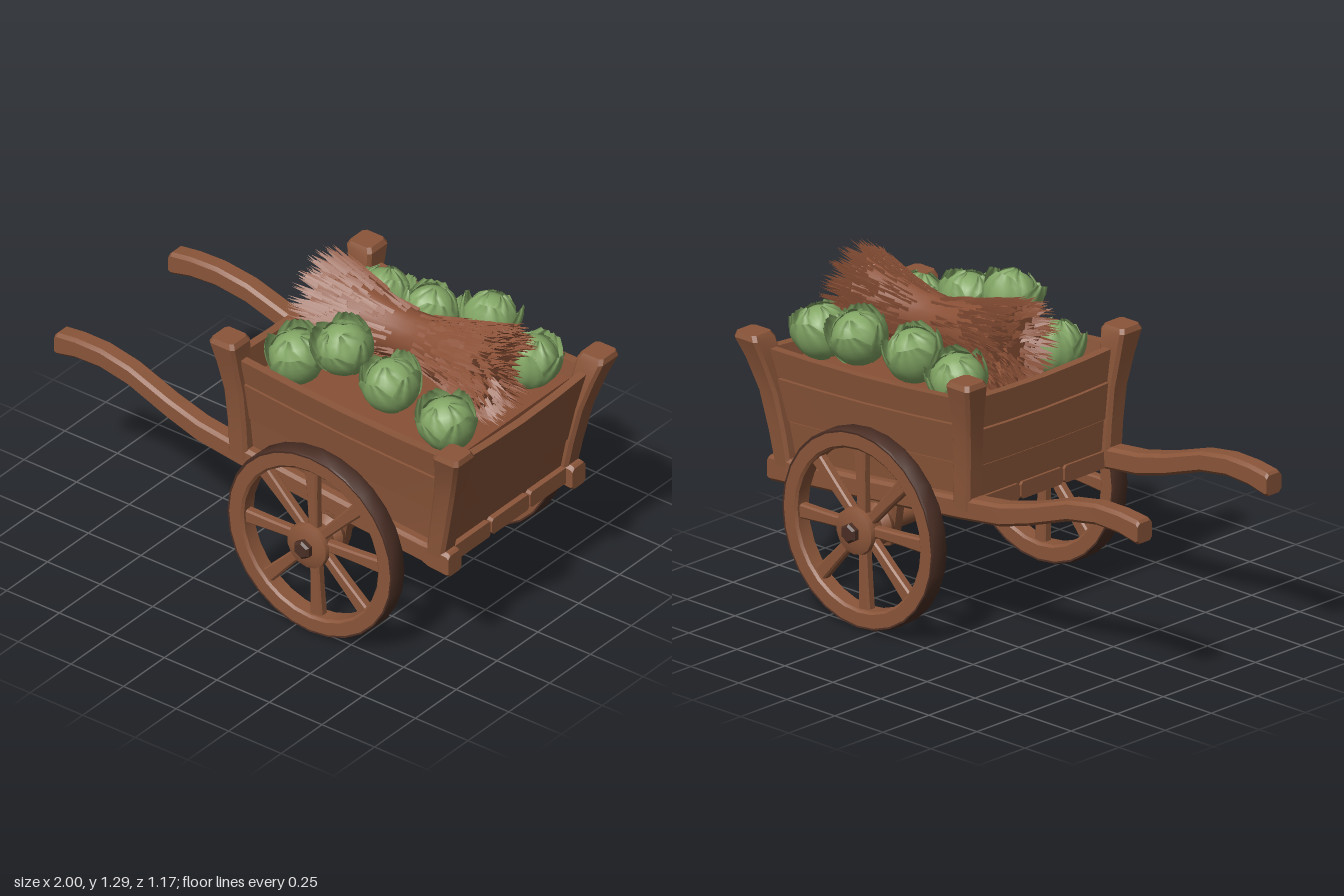
import * as THREE from 'three';
import { mergeGeometries, toCreasedNormals } from 'three/addons/utils/BufferGeometryUtils.js';
import { ParametricGeometry } from 'three/addons/geometries/ParametricGeometry.js';

const lerp = THREE.MathUtils.lerp;
let seed = 7;
const rnd = () => (seed = (seed * 16807) % 2147483647) / 2147483647;

// Solid skinned over rings of equal point count, closed at both ends, facing outward
function loft(rings) {
  const n = rings[0].length, tris = [];
  for (let i = 0; i + 1 < rings.length; i++) {
    for (let j = 0; j < n; j++) {
      const k = (j + 1) % n, a = rings[i], b = rings[i + 1];
      tris.push([a[j], a[k], b[k]], [a[j], b[k], b[j]]);
    }
  }
  const first = rings[0], last = rings[rings.length - 1];
  for (let j = 1; j + 1 < n; j++) {
    tris.push([first[0], first[j + 1], first[j]], [last[0], last[j], last[j + 1]]);
  }
  const V = (p) => new THREE.Vector3(...p), o = V(first[0]);
  let volume = 0;
  for (const [a, b, c] of tris) volume += V(a).sub(o).dot(V(b).sub(o).cross(V(c).sub(o)));
  if (volume < 0) tris.forEach((t) => t.reverse());
  const g = new THREE.BufferGeometry();
  g.setAttribute('position', new THREE.Float32BufferAttribute(tris.flat(2), 3));
  return toCreasedNormals(g, 0.5);
}

// Chamfered rectangle, as [a, b] offsets
function chamfer(w, h, c = 0.013) {
  return [[w - c, h], [w, h - c], [w, c - h], [w - c, -h], [c - w, -h], [-w, c - h], [-w, h - c], [c - w, h]];
}

export function createModel() {
  const root = new THREE.Group();
  root.name = 'handcart';
  const wood = new THREE.MeshStandardMaterial({ color: 0x8a5539 });
  wood.name = 'wood';
  const iron = new THREE.MeshStandardMaterial({ color: 0x4a2e24 });
  iron.name = 'darkIron';
  const straw = new THREE.MeshStandardMaterial({ color: 0x8a5036, side: THREE.DoubleSide });
  straw.name = 'straw';
  const green = new THREE.MeshStandardMaterial({ color: 0x84a866, side: THREE.DoubleSide });
  green.name = 'cabbageGreen';
  const add = (name, geo, mat, parent = root) => {
    const m = new THREE.Mesh(geo, mat);
    m.name = name;
    parent.add(m);
    return m;
  };

  // Long shafts that carry the bed and curve up into the handles, and corner posts
  const shaft = [[-1, 0.69, 0.35, 0.04], [-0.99, 0.692, 0.35, 0.048], [-0.9, 0.708, 0.352, 0.044], [-0.78, 0.712, 0.355, 0.042],
    [-0.64, 0.69, 0.36, 0.042], [-0.45, 0.625, 0.367, 0.043], [-0.3, 0.585, 0.373, 0.045], [-0.1, 0.562, 0.378, 0.045],
    [0.4, 0.51, 0.378, 0.045], [0.77, 0.478, 0.378, 0.045], [0.8, 0.474, 0.38, 0.052], [0.89, 0.466, 0.38, 0.052], [0.9, 0.465, 0.38, 0.045]];
  const headPost = [[-0.105, 0.56, 0.378, 0.044], [-0.11, 0.7, 0.382, 0.044], [-0.118, 0.85, 0.39, 0.046],
    [-0.132, 0.98, 0.407, 0.052], [-0.139, 1.07, 0.42, 0.06], [-0.14, 1.09, 0.421, 0.05]];
  const tailPost = [[0.828, 0.49, 0.378, 0.042], [0.852, 0.62, 0.381, 0.045], [0.885, 0.78, 0.393, 0.048],
    [0.92, 0.91, 0.42, 0.053], [0.942, 0.99, 0.442, 0.06], [0.946, 1.012, 0.445, 0.05]];
  for (const s of [1, -1]) {
    const side = s > 0 ? 'front' : 'back';
    add(side + 'Shaft', loft(shaft.map(([x, y, z, r]) =>
      chamfer(r, 0.04).map(([a, b]) => [x, y + a, s * (z + b)]))), wood);
    for (const [label, path] of [['HeadPost', headPost], ['TailPost', tailPost]]) {
      add(side + label, loft(path.map(([x, y, z, r]) =>
        chamfer(r, r).map(([a, b]) => [x + a, y, s * (z + b)]))), wood);
    }
  }

  // Board walls: point(u, f) runs along the wall (u) and up it (f)
  const wall = (name, point, [tx, tz], splits) => {
    for (let i = 0; i + 1 < splits.length; i++) {
      const out = i % 2 ? 0.006 : 0;
      const rings = [0, 0.25, 0.5, 0.75, 1].map((u) => {
        const lo = point(u, splits[i] + 0.004), hi = point(u, splits[i + 1] - 0.008);
        const shift = ([x, y, z], k) => [x + tx * k, y, z + tz * k];
        return [shift(lo, out), shift(hi, out), shift(hi, out - 0.036), shift(lo, out - 0.036)];
      });
      add(name + 'Board', loft(rings), wood);
    }
  };
  for (const s of [1, -1]) {
    wall(s > 0 ? 'frontSide' : 'backSide', (u, f) => [
      lerp(-0.1, lerp(0.83, 0.92, f), u),
      lerp(lerp(0.58, 0.5, u), lerp(1.01, 0.955, u), f) - 0.015 * f * Math.sin(u * Math.PI),
      s * lerp(0.375, 0.43, f ** 1.4)], [0, s], [0, 0.36, 0.74, 1]);
  }
  wall('tailgate', (u, f) => [lerp(0.845, 0.935, f),
    lerp(0.5, 0.945, f) - 0.022 * f * Math.sin(u * Math.PI),
    lerp(-1, 1, u) * lerp(0.35, 0.42, f)], [1, 0], [0, 0.32, 1]);
  wall('headboard', (u, f) => [lerp(-0.115, -0.145, f),
    lerp(0.56, 1.01, f) - 0.015 * f * Math.sin(u * Math.PI),
    lerp(-1, 1, u) * lerp(0.35, 0.41, f)], [-1, 0], [0, 0.36, 0.7, 1]);

  // Floor boards between the shafts
  for (const z of [-0.235, 0, 0.235]) {
    add('floorBoard', loft([[-0.13, 0.56], [0.87, 0.475]].map(([x, y]) =>
      chamfer(0.034, 0.113, 0.01).map(([a, b]) => [x, y + a, z + b]))), wood);
  }

  // Axle and its brackets
  const WX = 0.325, WY = 0.395;
  const axle = add('axle', toCreasedNormals(new THREE.CylinderGeometry(0.04, 0.04, 0.84, 10), 0.8), wood);
  axle.rotation.x = Math.PI / 2;
  axle.position.set(WX, WY - 0.005, 0);
  for (const s of [1, -1]) {
    add('axleBracket', loft([[0.31, 0.045], [0.37, 0.065], [0.5, 0.085]].map(([y, w]) =>
      chamfer(w, 0.033).map(([a, b]) => [WX + a, y, s * 0.378 + b]))), wood);
  }

  // Wheels, built with the outer face toward +z and turned round for the back
  const lathe = (pts, seg) => toCreasedNormals(
    new THREE.LatheGeometry(pts.map((p) => new THREE.Vector2(...p)), seg).rotateX(Math.PI / 2), 0.6);
  const spoke = loft([[0.06, 0.021], [0.2, 0.024], [0.335, 0.03]].map(([y, w]) =>
    chamfer(w, 0.02, 0.007).map(([a, b]) => [a, y, b])));
  for (const s of [1, -1]) {
    const wheel = new THREE.Group();
    wheel.name = s > 0 ? 'frontWheel' : 'backWheel';
    wheel.position.set(WX, WY, s * 0.49);
    if (s < 0) wheel.rotation.y = Math.PI;
    root.add(wheel);
    add('rim', lathe([[0.387, 0.039], [0.33, 0.039], [0.32, 0.03], [0.32, -0.03], [0.33, -0.039], [0.387, -0.039]], 28), wood, wheel);
    add('tyre', lathe([[0.383, -0.039], [0.39, -0.04], [0.395, -0.032], [0.395, 0.032], [0.39, 0.04], [0.383, 0.039]], 28), iron, wheel);
    add('hub', lathe([[0, -0.09], [0.07, -0.09], [0.085, -0.06], [0.065, -0.03], [0.075, 0.03], [0.095, 0.04],
      [0.092, 0.058], [0.06, 0.07], [0, 0.07]], 14), wood, wheel);
    add('hubNut', lathe([[0.04, 0.06], [0.04, 0.088], [0.03, 0.096], [0, 0.096]], 6), iron, wheel);
    for (let i = 0; i < 8; i++) {
      add('spoke', spoke, wood, wheel).rotation.z = (i / 8) * Math.PI * 2 + 0.04;
    }
  }

  // Loose straw filling under the load
  add('strawBed', loft([[0.8, 0.36], [0.89, 0.375]].map(([y, w]) =>
    [[-0.09, y, -w], [0.86, y, -w], [0.86, y, w], [-0.09, y, w]])), straw);

  // Straw sheaf: a waisted core covered in thin blades that splay toward both ends
  const sheaf = new THREE.Group();
  sheaf.name = 'strawSheaf';
  sheaf.position.set(0.39, 1.075, -0.015);
  sheaf.scale.y = 1.13;
  root.add(sheaf);
  const radius = (d) => 0.1 + 0.06 * THREE.MathUtils.smoothstep(Math.abs(d), 0.02, 0.38);
  const profile = [[0, -0.39], ...[-0.38, -0.28, -0.18, -0.08, 0, 0.08, 0.18, 0.28, 0.38].map((d) => [radius(d) - 0.008, d]), [0, 0.39]];
  const core = new THREE.LatheGeometry(profile.map((p) => new THREE.Vector2(...p)), 18);
  add('sheafCore', toCreasedNormals(core.rotateZ(-Math.PI / 2), 0.6), straw, sheaf);
  const blades = [], up = new THREE.Vector3(0, 1, 0);
  const blade = (x, r, a, dir, splay, len, w) => {
    const c = Math.cos(a), n = Math.sin(a);
    const d = new THREE.Vector3(dir, c * splay, n * splay).normalize();
    const g = new THREE.ConeGeometry(w, len, 3, 1, true).translate(0, len / 2, 0);
    g.applyQuaternion(new THREE.Quaternion().setFromUnitVectors(up, d));
    blades.push(toCreasedNormals(g.translate(x, c * r, n * r), 0.3));
  };
  for (let i = 0; i < 1000; i++) {
    const dir = i % 2 ? 1 : -1, d = 0.36 * Math.sqrt(rnd());
    blade(dir * d, radius(d) - 0.008, rnd() * Math.PI * 2, dir, 0.1 + 0.24 * rnd(),
      Math.min(0.08 + 0.08 * rnd(), 0.47 - d), 0.006 + 0.005 * rnd());
  }
  for (let i = 0; i < 420; i++) {
    const dir = i % 2 ? 1 : -1;
    blade(dir * 0.37, 0.155 * Math.sqrt(rnd()), rnd() * Math.PI * 2, dir, 0.2 + 0.5 * rnd(),
      0.05 + 0.05 * rnd(), 0.009 + 0.006 * rnd());
  }
  add('sheafBlades', mergeGeometries(blades), straw, sheaf);

  // Cabbages: round heart, tight wrapping leaves and flared outer leaves
  const leaf = (r, flare, width, reach) => new ParametricGeometry((u, v, p) => {
    const phi = (u - 0.5) * width * Math.sin(Math.PI * (0.2 + 0.68 * v));
    const theta = 2.6 - v * reach;
    const q = r + flare * v ** 3 + 0.004 * Math.cos(u * Math.PI * 6) * v;
    p.set(q * Math.sin(theta) * Math.sin(phi), q * Math.cos(theta), q * Math.sin(theta) * Math.cos(phi));
  }, 8, 7);
  const heart = new THREE.SphereGeometry(0.102, 14, 10);
  const tight = leaf(0.105, 0.006, 2.3, 2.3), outer = leaf(0.109, 0.03, 2.0, 1.65);
  const patch = [[0.05, 0.99, 0.255], [0.285, 1.125, 0.265], [0.515, 1.055, 0.27], [0.775, 0.985, 0.265],
    [0.055, 1.0, -0.265], [0.3, 1.03, -0.245], [0.53, 1.055, -0.31], [0.775, 1.0, -0.25]];
  patch.forEach(([x, y, z], i) => {
    const cabbage = new THREE.Group();
    cabbage.name = 'cabbage' + (i + 1);
    cabbage.position.set(x, y, z);
    cabbage.rotation.set(0.25 * Math.sign(z), i * 1.3, 0.2 * Math.sin(i * 2));
    root.add(cabbage);
    add('heart', heart, green, cabbage);
    for (let k = 0; k < 3; k++) add('wrappingLeaf', tight, green, cabbage).rotation.y = k * 2.1;
    for (let k = 0; k < 4; k++) {
      const m = add('outerLeaf', outer, green, cabbage);
      m.rotation.y = k * 1.57 + 0.5;
      m.scale.setScalar(1 - 0.03 * (k % 2));
    }
  });
  return root;
}
